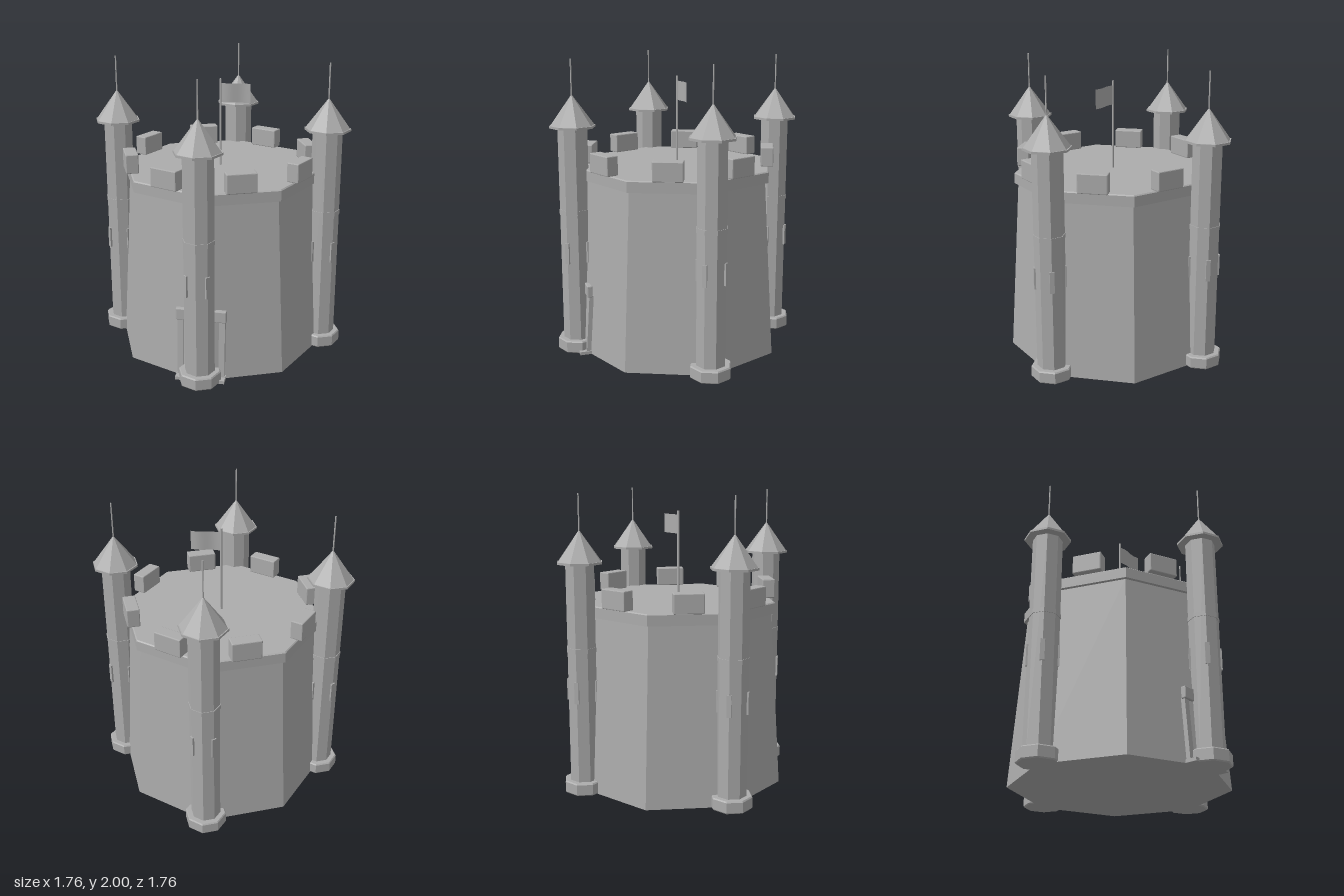
import * as THREE from 'three';
import { RoundedBoxGeometry } from 'three/addons/geometries/RoundedBoxGeometry.js';

export function createModel() {
  const stone = new THREE.MeshStandardMaterial({ color: 0xacacac });
  stone.name = 'grey stone';
  stone.flatShading = true;
  const cloth = stone.clone();
  cloth.name = 'grey cloth';
  cloth.side = THREE.DoubleSide;
  cloth.flatShading = false;

  const castle = new THREE.Group();
  castle.name = 'castleKeep';

  function add(parent, name, geometry, x = 0, y = 0, z = 0, material = stone) {
    const mesh = new THREE.Mesh(geometry, material);
    mesh.name = name;
    mesh.position.set(x, y, z);
    parent.add(mesh);
    return mesh;
  }
  // Eight-sided drum or cone between two heights
  const drum = (parent, name, rTop, rBottom, y0, y1) =>
    add(parent, name, new THREE.CylinderGeometry(rTop, rBottom, y1 - y0, 8), 0, (y0 + y1) / 2, 0);
  const block = (w, h, d, bevel = 0.006) => new RoundedBoxGeometry(w, h, d, 1, bevel);

  // Tapered keep and its flat roof slab
  drum(castle, 'keepWall', 0.655, 0.735, 0, 1.2);
  drum(castle, 'roofSlab', 0.68, 0.68, 1.195, 1.265);
  drum(castle, 'roofSlabBevel', 0.672, 0.68, 1.265, 1.272);

  // One battlement block on each side of the roof
  for (let i = 0; i < 8; i++) {
    const a = (i + 0.5) * Math.PI / 4;
    const b = add(castle, 'battlement', block(0.197, 0.13, 0.086),
      Math.sin(a) * 0.617, 1.337, Math.cos(a) * 0.617);
    b.rotation.y = a;
  }

  // Four corner towers
  for (let i = 0; i < 4; i++) {
    const a = i * Math.PI / 2;
    const tower = new THREE.Group();
    tower.name = 'tower';
    tower.position.set(Math.sin(a) * 0.725, 0, Math.cos(a) * 0.725);
    tower.rotation.y = a;
    castle.add(tower);

    drum(tower, 'towerFootLower', 0.14, 0.133, 0, 0.008);
    drum(tower, 'towerFoot', 0.14, 0.14, 0.008, 0.077);
    drum(tower, 'towerFootTop', 0.133, 0.14, 0.077, 0.085);
    drum(tower, 'towerShaft', 0.1, 0.1, 0.08, 1.555);
    drum(tower, 'towerBand', 0.104, 0.104, 0.97, 1.0);
    drum(tower, 'roofBrim', 0.155, 0.155, 1.55, 1.565);
    drum(tower, 'towerRoof', 0.002, 0.148, 1.565, 1.765);
    drum(tower, 'spire', 0.005, 0.005, 1.74, 2.0);

    // Slit windows on the diagonals
    for (let k = 0; k < 4; k++) {
      const w = (k + 0.5) * Math.PI / 2;
      const slit = add(tower, 'slitWindow', new THREE.BoxGeometry(0.03, 0.145, 0.014),
        Math.sin(w) * 0.099, 0.705, Math.cos(w) * 0.099);
      slit.rotation.y = w;
    }
  }

  // Doorway: lintel, leaning jambs and step
  add(castle, 'doorLintel', block(0.335, 0.08, 0.036), 0, 0.45, 0.668);
  for (const side of [-1, 1]) {
    const jamb = add(castle, 'doorJamb', new THREE.BoxGeometry(0.04, 0.42, 0.03), side * 0.138, 0.21, 0.67);
    jamb.rotation.x = -0.066;
  }
  add(castle, 'doorStep', new THREE.BoxGeometry(0.33, 0.022, 0.08), 0, 0.011, 0.705);

  // Flagpole and gently rippled flag
  drum(castle, 'flagpole', 0.008, 0.008, 1.26, 1.87);
  const flag = new THREE.PlaneGeometry(0.2, 0.13, 16, 1);
  const p = flag.attributes.position;
  for (let i = 0; i < p.count; i++) {
    const t = p.getX(i) / 0.2 + 0.5;
    p.setZ(i, Math.sin(t * Math.PI * 2) * 0.007);
  }
  flag.computeVertexNormals();
  add(castle, 'flag', flag, 0.103, 1.775, 0, cloth);

  return castle;
}
